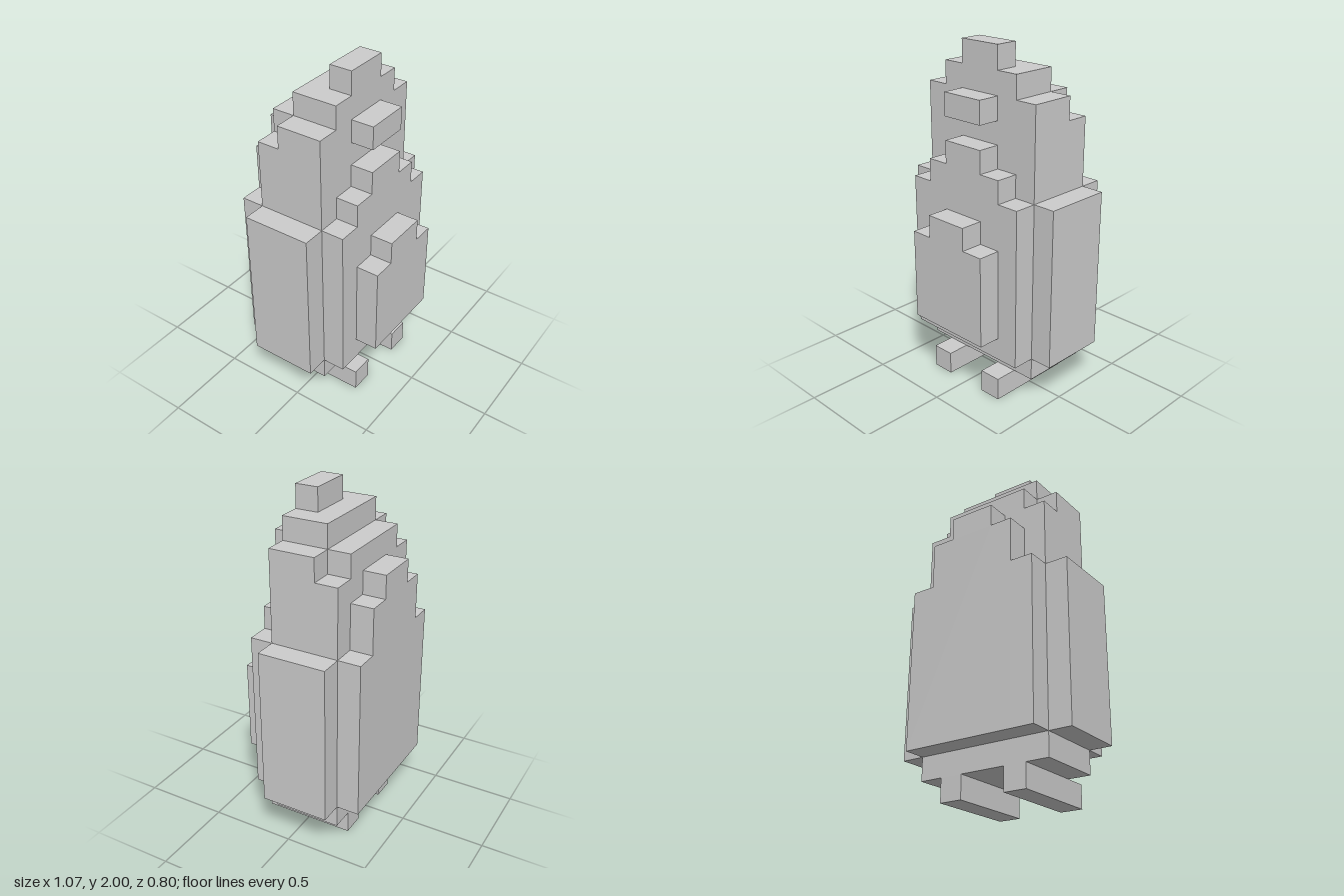
import * as THREE from 'three';

const U = 2 / 15; // one block
const material = new THREE.MeshStandardMaterial({ color: 0xcccccc, flatShading: true });

function addMesh(group, name, geometry) {
  const mesh = new THREE.Mesh(geometry.scale(U, U, U), material);
  mesh.name = name;
  group.add(mesh);
}

// Box between two corners, in blocks
function addBox(group, name, [x0, y0, z0], [x1, y1, z1]) {
  const geometry = new THREE.BoxGeometry(x1 - x0, y1 - y0, z1 - z0);
  geometry.translate((x0 + x1) / 2, (y0 + y1) / 2, (z0 + z1) / 2);
  addMesh(group, name, geometry);
}

// Symmetric stepped slab from z0 to z1; steps are [half width, top height]
function addSlab(group, name, z0, z1, bottom, steps) {
  const right = [];
  let y = bottom;
  for (const [halfWidth, top] of steps) {
    right.push(new THREE.Vector2(halfWidth, y), new THREE.Vector2(halfWidth, top));
    y = top;
  }
  const left = right.map(p => new THREE.Vector2(-p.x, p.y)).reverse();
  const geometry = new THREE.ExtrudeGeometry(new THREE.Shape([...right, ...left]), {
    depth: z1 - z0, bevelEnabled: false,
  });
  addMesh(group, name, geometry.translate(0, 0, z0));
}

export function createModel() {
  const model = new THREE.Group();
  model.name = 'blockBird';

  // Body and head, sliced from front to back
  addSlab(model, 'bodyFront', 0, 1, 1, [[3, 13], [2, 14], [1, 15]]);
  addSlab(model, 'bodyMiddle', -1, 0, 1, [[3, 13], [2, 14]]);
  addSlab(model, 'bodyRear', -2, -1, 1, [[3, 12], [2, 13]]);

  // Stepped layers on the chest, belly and back
  addSlab(model, 'chest', 1, 2, 2, [[3, 9], [2, 10], [1, 11]]);
  addSlab(model, 'belly', 2, 3, 3, [[2, 7], [1, 8]]);
  addSlab(model, 'back', -3, -2, 2, [[3, 9], [2, 11], [1, 12]]);

  addBox(model, 'beak', [-1, 12, 1], [1, 13, 2]);

  // Wings and feet on both sides
  addBox(model, 'leftWing', [3, 2, -2], [4, 9, 1]);
  addBox(model, 'rightWing', [-4, 2, -2], [-3, 9, 1]);
  addBox(model, 'leftFoot', [1, 0, -2], [2, 1, 2]);
  addBox(model, 'rightFoot', [-2, 0, -2], [-1, 1, 2]);

  return model;
}
